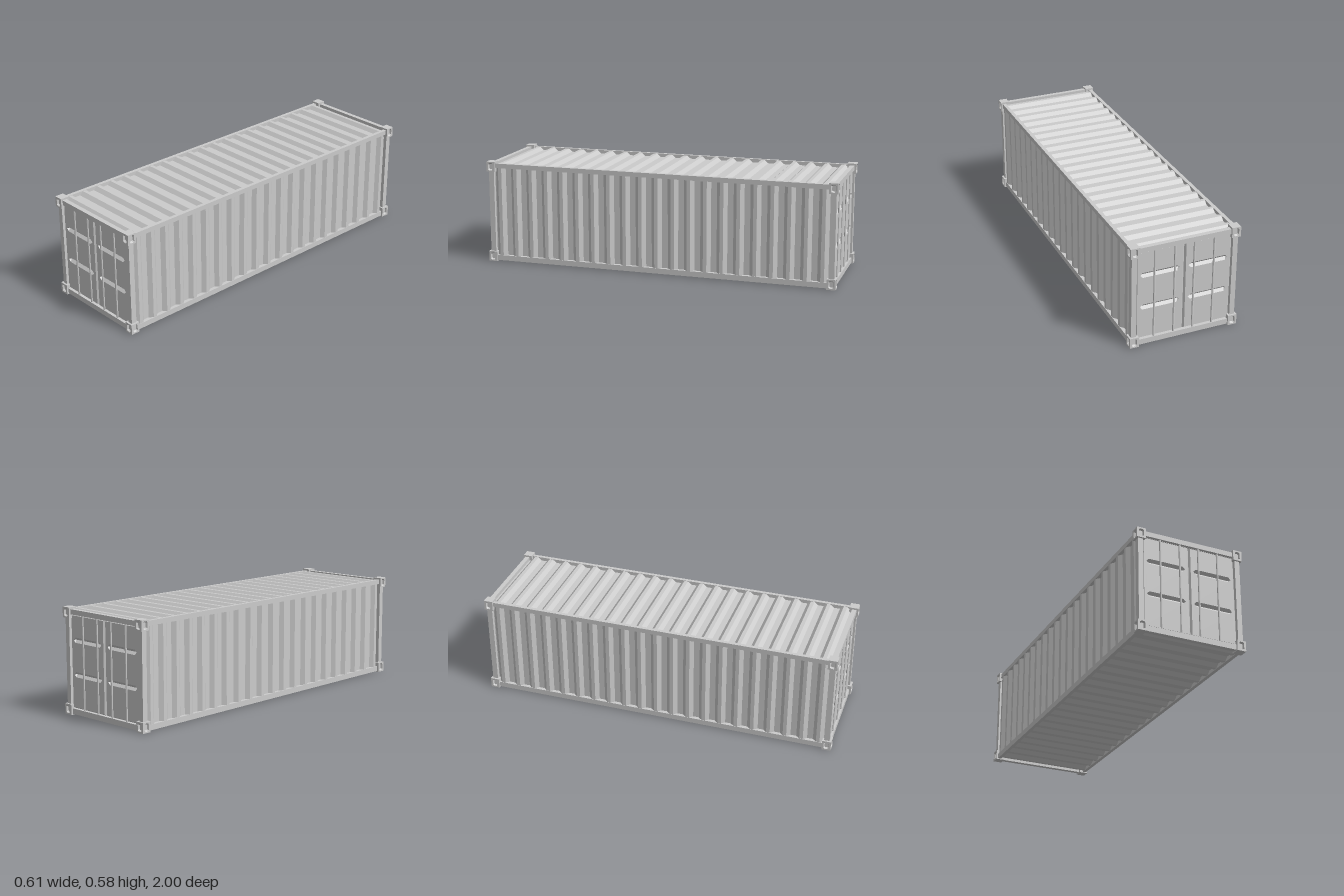
import * as THREE from 'three';
import { mergeGeometries } from 'three/addons/utils/BufferGeometryUtils.js';

const material = new THREE.MeshStandardMaterial({ color: 0xcccccc, flatShading: true });

function add(parent, name, geometry, x = 0, y = 0, z = 0) {
  const mesh = new THREE.Mesh(geometry, material);
  mesh.name = name;
  mesh.position.set(x, y, z);
  parent.add(mesh);
  return mesh;
}

// Box given by its lower and upper corners
function block(parent, name, [x0, y0, z0], [x1, y1, z1]) {
  const box = new THREE.BoxGeometry(x1 - x0, y1 - y0, z1 - z0);
  return add(parent, name, box, (x0 + x1) / 2, (y0 + y1) / 2, (z0 + z1) / 2);
}

const vectors = (points) => points.map(([x, y]) => new THREE.Vector2(x, y));
const rect = (w, h) => [[-w, -h], [w, -h], [w, h], [-w, h]];
const octagon = (w, h, c) => [
  [-w + c, -h], [w - c, -h], [w, -h + c], [w, h - c],
  [w - c, h], [-w + c, h], [-w, h - c], [-w, -h + c],
];

// Flat face looking along +z, with holes
function face(outline, holes = [], z = 0) {
  const shape = new THREE.Shape(vectors(outline));
  holes.forEach((hole) => shape.holes.push(new THREE.Path(vectors(hole))));
  return new THREE.ShapeGeometry(shape).toNonIndexed().deleteAttribute('uv').translate(0, 0, z);
}

// Sloping band from an outer ring to an inner ring, both counter-clockwise
function band(outer, zOuter, inner, zInner) {
  const positions = [];
  outer.forEach((a, i) => {
    const j = (i + 1) % outer.length;
    const A = [...a, zOuter], B = [...outer[j], zOuter];
    const C = [...inner[j], zInner], D = [...inner[i], zInner];
    positions.push(...A, ...B, ...C);
    if (C[0] !== D[0] || C[1] !== D[1]) positions.push(...A, ...C, ...D);
  });
  const geometry = new THREE.BufferGeometry();
  geometry.setAttribute('position', new THREE.Float32BufferAttribute(positions, 3));
  geometry.computeVertexNormals();
  return geometry;
}

// Corrugated sheet: ridges spaced along z, pointing up, width along x
function corrugated(width) {
  const pitch = 0.0925, ridges = 21, depth = 0.018;
  const shape = new THREE.Shape();
  shape.moveTo(-0.975, -0.008);
  shape.lineTo(0.975, -0.008);
  shape.lineTo(0.975, 0);
  for (let i = 0; i < ridges; i++) {
    const u = ((ridges - 1) / 2 - i) * pitch;
    shape.lineTo(u + 0.03, 0);
    shape.lineTo(u + 0.01, depth);
    shape.lineTo(u - 0.01, depth);
    shape.lineTo(u - 0.03, 0);
  }
  shape.lineTo(-0.975, 0);
  return new THREE.ExtrudeGeometry(shape, { depth: width, bevelEnabled: false })
    .translate(0, 0, -width / 2)
    .rotateY(Math.PI / 2);
}

// Corner block with a tapered pocket on its +x and +z faces
function cornerBlock() {
  const w = 0.025, h = 0.0285;
  const mouth = octagon(0.014, 0.021, 0.006), floor = octagon(0.01, 0.015, 0.004);
  const pocketed = () => mergeGeometries([
    face(rect(w, h), [mouth]),
    band(mouth, 0, floor, -0.01),
    face(floor, [], -0.01),
  ]).translate(0, 0, w);
  const plain = (half) => face(rect(w, half));
  return mergeGeometries([
    pocketed(),
    pocketed().rotateY(Math.PI / 2),
    plain(h).translate(0, 0, w).rotateY(Math.PI),
    plain(h).translate(0, 0, w).rotateY(-Math.PI / 2),
    plain(w).translate(0, 0, h).rotateX(-Math.PI / 2),
    plain(w).translate(0, 0, h).rotateX(Math.PI / 2),
  ]);
}

// Door leaf with bevelled edge and two V-shaped recesses
function doorLeaf() {
  const outer = rect(0.132, 0.2525), inner = rect(0.124, 0.246);
  const tip = 0.109, flat = 0.096, r = 0.014, keel = 0.104;
  const recesses = [0.1165, -0.0685].map((y) => ({
    mouth: [[tip, y], [flat, y + r], [-flat, y + r], [-tip, y], [-flat, y - r], [flat, y - r]],
    keel: [keel, keel, -keel, -keel, -keel, keel].map((x) => [x, y]),
  }));
  return mergeGeometries([
    face(inner, recesses.map((p) => p.mouth)),
    band(outer, -0.01, inner, 0),
    ...recesses.map((p) => band(p.mouth, 0, p.keel, -0.014)),
  ]);
}

// End wall with a pair of doors and four locking rods
function doorEnd() {
  const end = new THREE.Group();
  block(end, 'doorBacking', [-0.27, 0.03, 0.955], [0.27, 0.545, 0.965]);
  const leaf = doorLeaf();
  const rod = new THREE.CylinderGeometry(0.0055, 0.0055, 0.505, 8);
  for (const side of [-1, 1]) {
    add(end, 'door', leaf, side * 0.133, 0.2875, 0.98);
    for (const x of [0.0535, 0.1645]) add(end, 'lockingRod', rod, side * x, 0.2875, 0.982);
  }
  block(end, 'bottomEndBeam', [-0.27, 0.005, 0.965], [0.27, 0.035, 0.99]);
  block(end, 'topEndBeam', [-0.27, 0.54, 0.965], [0.27, 0.567, 0.99]);
  return end;
}

export function createModel() {
  const model = new THREE.Group();
  model.name = 'shippingContainer';

  // Roof, floor and side walls
  add(model, 'roof', corrugated(0.548), 0, 0.547, 0);
  add(model, 'floor', corrugated(0.548).rotateZ(Math.PI), 0, 0.026, 0);
  for (const side of [-1, 1]) {
    const wall = corrugated(0.512).rotateZ(-side * Math.PI / 2);
    add(model, side > 0 ? 'leftWall' : 'rightWall', wall, side * 0.273, 0.2885, 0);
  }

  // Long rails and corner posts
  for (const side of [-1, 1]) {
    const span = [side * 0.273, side * 0.293].sort((a, b) => a - b);
    block(model, 'bottomRail', [span[0], 0.005, -0.985], [span[1], 0.035, 0.985]);
    block(model, 'topRail', [span[0], 0.541, -0.985], [span[1], 0.567, 0.985]);
    for (const end of [-1, 1]) {
      const post = new THREE.BoxGeometry(0.028, 0.5, 0.03);
      add(model, 'cornerPost', post, side * 0.279, 0.2885, end * 0.975);
    }
  }

  // Door ends, front and back
  for (const [name, turn] of [['frontEnd', 0], ['backEnd', Math.PI]]) {
    const end = doorEnd();
    end.name = name;
    end.rotation.y = turn;
    model.add(end);
  }

  // Corner blocks, turned so the pockets face outwards
  const corner = cornerBlock();
  const corners = [[1, 1, 0], [1, -1, 1], [-1, -1, 2], [-1, 1, 3]];
  for (const [sx, sz, quarter] of corners) {
    for (const y of [0.0285, 0.5485]) {
      add(model, 'cornerBlock', corner, sx * 0.278, y, sz * 0.975).rotation.y = quarter * Math.PI / 2;
    }
  }
  return model;
}
